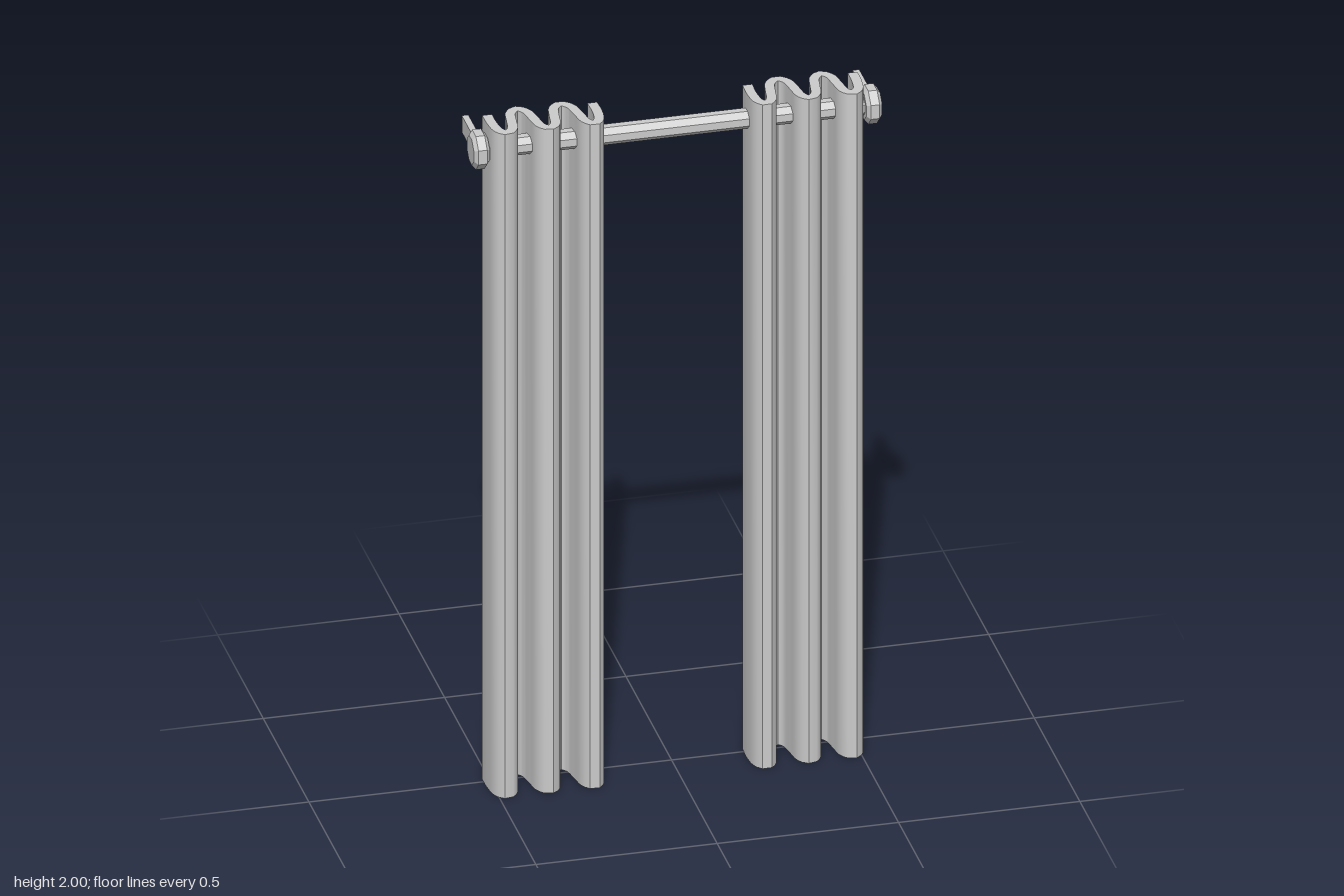
import * as THREE from 'three';
import { toCreasedNormals } from 'three/addons/utils/BufferGeometryUtils.js';

const ROD_Y = 1.925, ROD_Z = 0.033;

// Pleated cloth: a ribbon of even thickness along a wavy centre line, extruded upwards
function curtainGeometry(path, half) {
  const curve = new THREE.CatmullRomCurve3(path.map(([x, z]) => new THREE.Vector3(x, -z, 0)));
  const n = 72, a = [], b = [];
  for (let i = 0; i <= n; i++) {
    const p = curve.getPointAt(i / n), t = curve.getTangentAt(i / n);
    a.push(new THREE.Vector2(p.x - t.y * half, p.y + t.x * half));
    b.push(new THREE.Vector2(p.x + t.y * half, p.y - t.x * half));
  }
  const geo = new THREE.ExtrudeGeometry(new THREE.Shape([...a, ...b.reverse()]), {
    depth: 2, bevelEnabled: false,
  });
  geo.rotateX(-Math.PI / 2);
  return toCreasedNormals(geo, 0.7);
}

// Eight-sided solid along x from [radius, position] pairs, flats facing up
function octagon(profile) {
  const pts = profile.map(([r, h]) => new THREE.Vector2(r / Math.cos(Math.PI / 8), h));
  const geo = new THREE.LatheGeometry(pts, 8, Math.PI / 8);
  geo.rotateZ(-Math.PI / 2);
  return toCreasedNormals(geo, 0.1);
}

export function createModel() {
  const group = new THREE.Group();
  const grey = new THREE.MeshStandardMaterial({ color: 0xcccccc });
  grey.name = 'plain grey';
  const add = (name, geo, x = 0, y = 0, z = 0) => {
    const mesh = new THREE.Mesh(geo, grey);
    mesh.name = name;
    mesh.position.set(x, y, z);
    group.add(mesh);
  };

  // Curtains: pleats from the inner edge to the outer edge
  const pleats = [
    [0.215, -0.015], [0.214, 0.04], [0.222, 0.085], [0.238, 0.1], [0.256, 0.083],
    [0.266, 0.033], [0.277, -0.012], [0.3, -0.031], [0.322, -0.012],
    [0.332, 0.033], [0.341, 0.08], [0.36, 0.097], [0.379, 0.08],
    [0.389, 0.033], [0.399, -0.012], [0.42, -0.032], [0.441, -0.012],
    [0.45, 0.033], [0.459, 0.08], [0.478, 0.097], [0.496, 0.08],
    [0.504, 0.033], [0.505, -0.015],
  ];
  add('leftCurtain', curtainGeometry(pleats.map(([x, z]) => [x - 0.002, z]), 0.0135));
  add('rightCurtain', curtainGeometry(pleats.map(([x, z]) => [-x, z]), 0.0135));

  // Rod
  add('rod', octagon([[0, -0.53], [0.026, -0.53], [0.026, 0.53], [0, 0.53]]), 0, ROD_Y, ROD_Z);

  // Bevelled end knobs and the wall brackets behind them
  const knob = octagon([
    [0, -0.022], [0.038, -0.022], [0.05, -0.012], [0.05, 0.012], [0.038, 0.022], [0, 0.022],
  ]);
  const bracket = new THREE.BoxGeometry(0.018, 0.05, 0.14);
  for (const [side, s] of [['left', 1], ['right', -1]]) {
    add(side + 'Knob', knob, s * 0.541, ROD_Y, ROD_Z);
    add(side + 'Bracket', bracket, s * 0.539, ROD_Y, -0.051);
  }
  return group;
}
